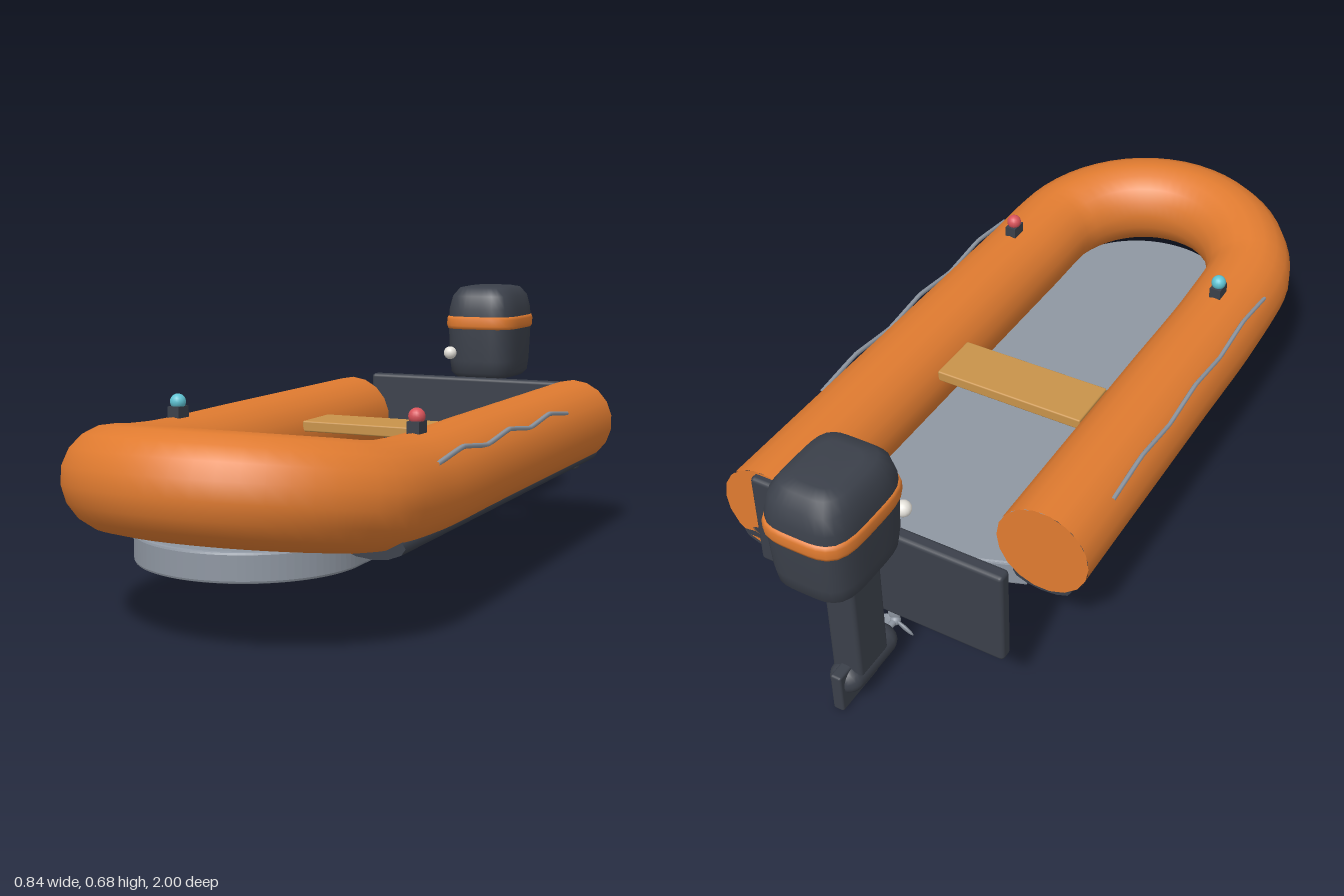
import * as THREE from 'three';
import { mergeVertices } from 'three/addons/utils/BufferGeometryUtils.js';
import { RoundedBoxGeometry } from 'three/addons/geometries/RoundedBoxGeometry.js';

const mat = (name, color, extra = {}) => {
  const m = new THREE.MeshStandardMaterial({ color, ...extra });
  m.name = name;
  return m;
};

export function createModel() {
  const boat = new THREE.Group();
  boat.name = 'inflatableBoat';
  const orange = mat('orange', 0xe07b30);
  const dark = mat('charcoal', 0x3b404a);
  const grey = mat('grey', 0x8f97a2);
  const wood = mat('wood', 0xc8934a);
  const red = mat('red', 0xd9535a);
  const cyan = mat('cyan', 0x5fc3d3);
  const white = mat('offWhite', 0xe6e3dc);

  const add = (name, geometry, material, x = 0, y = 0, z = 0, parent = boat) => {
    const mesh = new THREE.Mesh(geometry, material);
    mesh.name = name;
    mesh.position.set(x, y, z);
    parent.add(mesh);
    return mesh;
  };
  const V = (x, y, z) => new THREE.Vector3(x, y, z);

  // Inflated U-shaped hull tube, rising toward the bow; the left side runs further aft
  const R = 0.116, X = 0.305, Y = 0.305, bowZ = 0.575;
  const sternZ = { 1: -0.73, '-1': -0.54 };
  const path = [V(X, Y, sternZ[1]), V(X, Y, -0.3), V(X, Y, 0.1), V(X, Y, 0.45)];
  for (let i = 1; i < 12; i++) {
    const a = (i / 12) * Math.PI;
    path.push(V(X * Math.cos(a), Y + 0.05 * Math.sin(a), bowZ + X * Math.sin(a)));
  }
  path.push(V(-X, Y, 0.45), V(-X, Y, 0.1), V(-X, Y, -0.25), V(-X, Y, sternZ[-1]));
  add('hullTube', new THREE.TubeGeometry(new THREE.CatmullRomCurve3(path), 96, R, 18), orange);

  for (const s of [1, -1]) {
    const side = s > 0 ? 'left' : 'right';
    const z0 = sternZ[s];

    // Flat tube end
    add(side + 'TubeEnd', new THREE.CircleGeometry(R, 18).rotateY(Math.PI), orange, s * X, Y, z0);

    // Rubbing strip under the tube
    const length = 0.64 - z0;
    const strip = new THREE.CylinderGeometry(1, 1, length, 12).rotateX(Math.PI / 2).scale(0.075, 0.029, 1);
    add(side + 'RubbingStrip', strip, dark, s * X, 0.213, z0 + length / 2);

    // Zigzag grab line
    const rope = [];
    for (let i = 0; i < 7; i++) rope.push(V(s * 0.397, i % 2 ? 0.388 : 0.371, 0.515 - i * 0.149));
    const line = new THREE.CatmullRomCurve3(rope, false, 'catmullrom', 0.15);
    add(side + 'GrabLine', new THREE.TubeGeometry(line, 48, 0.006, 6), grey);

    // Navigation light
    add(side + 'LightBase', new THREE.BoxGeometry(0.03, 0.04, 0.045), dark, s * X, 0.425, 0.41);
    add(side + 'Light', new THREE.SphereGeometry(0.019, 16, 12), s > 0 ? red : cyan, s * X, 0.455, 0.41);
  }

  // Floor board with rounded bow and slanted stern edge
  const b = 0.006, w = 0.255 - b;
  const outline = new THREE.Shape();
  outline.moveTo(-w, -0.515);
  outline.lineTo(w, -0.7);
  outline.lineTo(w, 0.6);
  outline.absarc(0, 0.6, w, 0, Math.PI, false);
  const floor = new THREE.ExtrudeGeometry(outline, {
    depth: 0.066 - 2 * b, bevelSize: b, bevelThickness: b, bevelSegments: 2, curveSegments: 24,
  }).rotateX(Math.PI / 2);
  add('floor', floor, grey, 0, 0.22 - b, 0);

  // Seat plank and transom
  add('seat', new RoundedBoxGeometry(0.4, 0.028, 0.144, 2, 0.004), wood, 0, 0.348, -0.09 + 0.0);
  add('transom', new RoundedBoxGeometry(0.65, 0.252, 0.036, 2, 0.01), dark, 0, 0.288, -0.731);

  // Outboard motor
  const motor = new THREE.Group();
  motor.name = 'outboardMotor';
  boat.add(motor);
  const motorZ = -0.862;

  // Lathed profile squared off into a rounded-rectangle plan
  const squareLathe = (profile, hx, hz) => {
    const g = new THREE.LatheGeometry(profile.map(([r, y]) => new THREE.Vector2(r, y)), 40);
    const p = g.attributes.position;
    for (let i = 0; i < p.count; i++) {
      const x = p.getX(i), z = p.getZ(i), r = Math.hypot(x, z);
      const k = r > 1e-6 ? r / Math.pow(x ** 4 + z ** 4, 0.25) : 0;
      p.setXYZ(i, x * k * hx, p.getY(i), z * k * hz);
    }
    g.deleteAttribute('uv');
    g.deleteAttribute('normal');
    const merged = mergeVertices(g, 1e-5);
    merged.computeVertexNormals();
    return merged;
  };
  add('cowling', squareLathe([
    [0, 0.41], [0.8, 0.411], [0.92, 0.425], [0.96, 0.46], [1, 0.57],
    [0.98, 0.615], [0.9, 0.652], [0.73, 0.676], [0.5, 0.681], [0, 0.682],
  ], 0.104, 0.133), dark, 0, 0, motorZ, motor);
  add('cowlingBand', squareLathe([
    [0.9, 0.554], [0.975, 0.556], [1, 0.565], [1, 0.584], [0.975, 0.592], [0.9, 0.594],
  ], 0.108, 0.138), orange, 0, 0, motorZ, motor);
  add('pullHandle', new THREE.SphereGeometry(0.019, 16, 12), white, -0.075, 0.485, -0.727, motor);

  // Leg, gear housing and skeg
  add('leg', new RoundedBoxGeometry(0.077, 0.345, 0.112, 2, 0.012), dark, 0, 0.248, -0.827, motor);
  add('gearHousing', new THREE.CapsuleGeometry(0.037, 0.124, 6, 16).rotateX(Math.PI / 2).scale(1.15, 1, 1),
    dark, 0, 0.068, -0.816, motor);
  add('skeg', new RoundedBoxGeometry(0.028, 0.108, 0.14, 2, 0.006), dark, 0, 0.054, -0.855, motor);

  // Propeller
  const propeller = new THREE.Group();
  propeller.name = 'propeller';
  propeller.position.set(0, 0.067, -0.688);
  motor.add(propeller);
  add('hub', new THREE.SphereGeometry(0.013, 16, 12), grey, 0, 0, 0, propeller);
  add('shaft', new THREE.CylinderGeometry(0.008, 0.008, 0.04, 12).rotateX(Math.PI / 2), grey, 0, 0, -0.02, propeller);
  for (let i = 0; i < 3; i++) {
    const blade = new THREE.SphereGeometry(1, 14, 10).scale(0.016, 0.027, 0.005).rotateY(0.5).translate(0, 0.028, 0);
    add('blade', blade, grey, 0, 0, 0, propeller).rotation.z = (i * 2 * Math.PI) / 3;
  }
  return boat;
}
